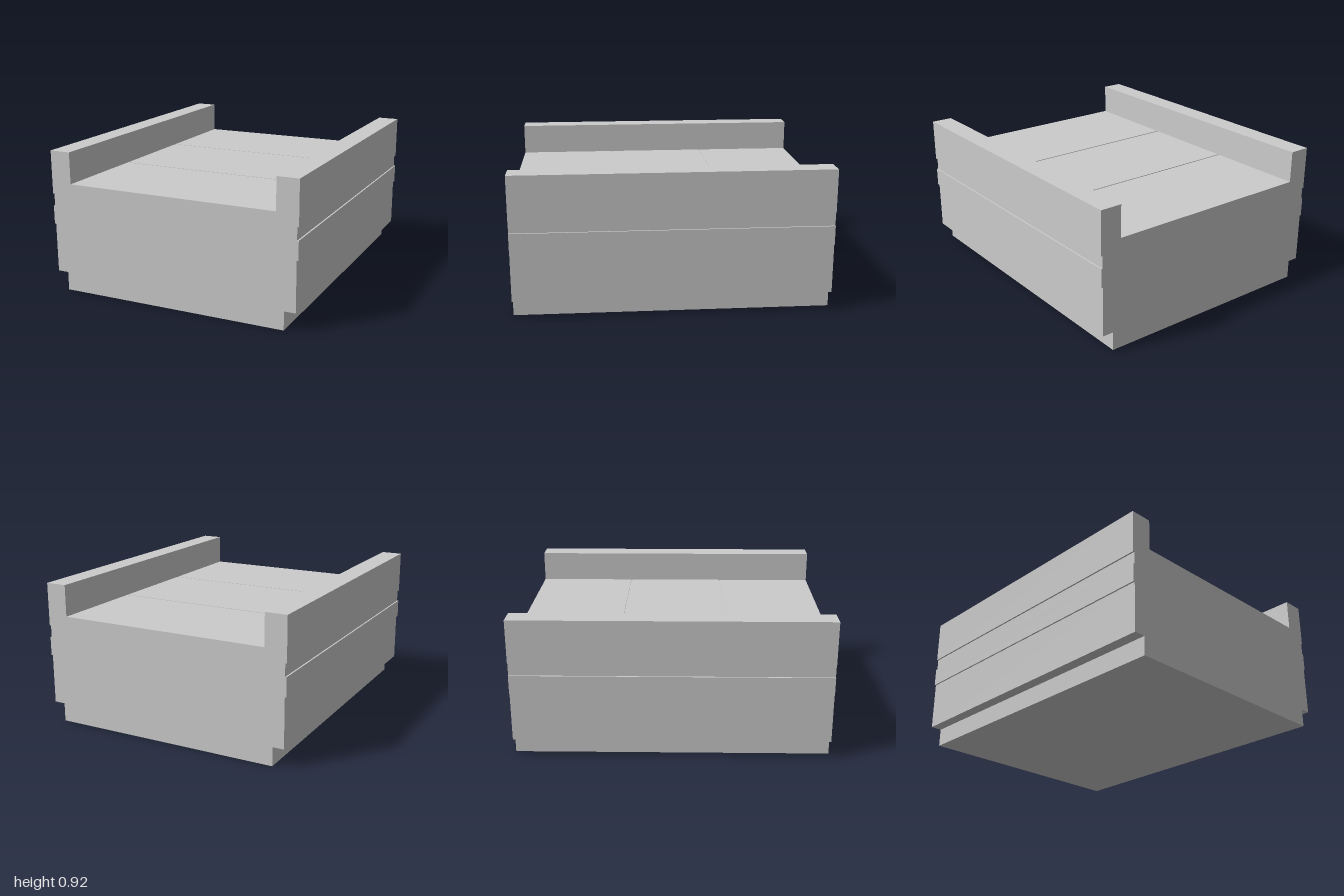
import * as THREE from 'three';

export function createModel() {
  const model = new THREE.Group();
  const material = new THREE.MeshStandardMaterial({ color: 0xcccccc, flatShading: true });
  const length = 2, deckY = 0.71, panelHeight = 0.005, gap = 0.008, innerX = 0.7;

  // Body: one cross-section with side rails, side grooves and a narrower base
  const half = [
    [0.757, 0], [0.757, 0.12], [0.83, 0.12], [0.83, 0.44], [0.84, 0.44],
    [0.84, 0.56], [0.83, 0.56], [0.83, 0.64], [0.84, 0.64], [0.84, 0.92],
    [innerX, 0.92], [innerX, deckY],
  ];
  const mirrored = half.map(([x, y]) => [-x, y]).reverse();
  const profile = new THREE.Shape([...half, ...mirrored].map(([x, y]) => new THREE.Vector2(x, y)));
  const bodyGeometry = new THREE.ExtrudeGeometry(profile, { depth: length, bevelEnabled: false });
  bodyGeometry.translate(0, 0, -length / 2);
  const body = new THREE.Mesh(bodyGeometry, material);
  body.name = 'body';
  model.add(body);

  // Deck: three thin panels separated by narrow seams
  const panelLength = (length - 2 * gap) / 3;
  for (let i = -1; i <= 1; i++) {
    const panel = new THREE.Mesh(new THREE.BoxGeometry(2 * innerX, panelHeight, panelLength), material);
    panel.position.set(0, deckY + panelHeight / 2, i * (panelLength + gap));
    panel.name = 'deckPanel';
    model.add(panel);
  }

  return model;
}
